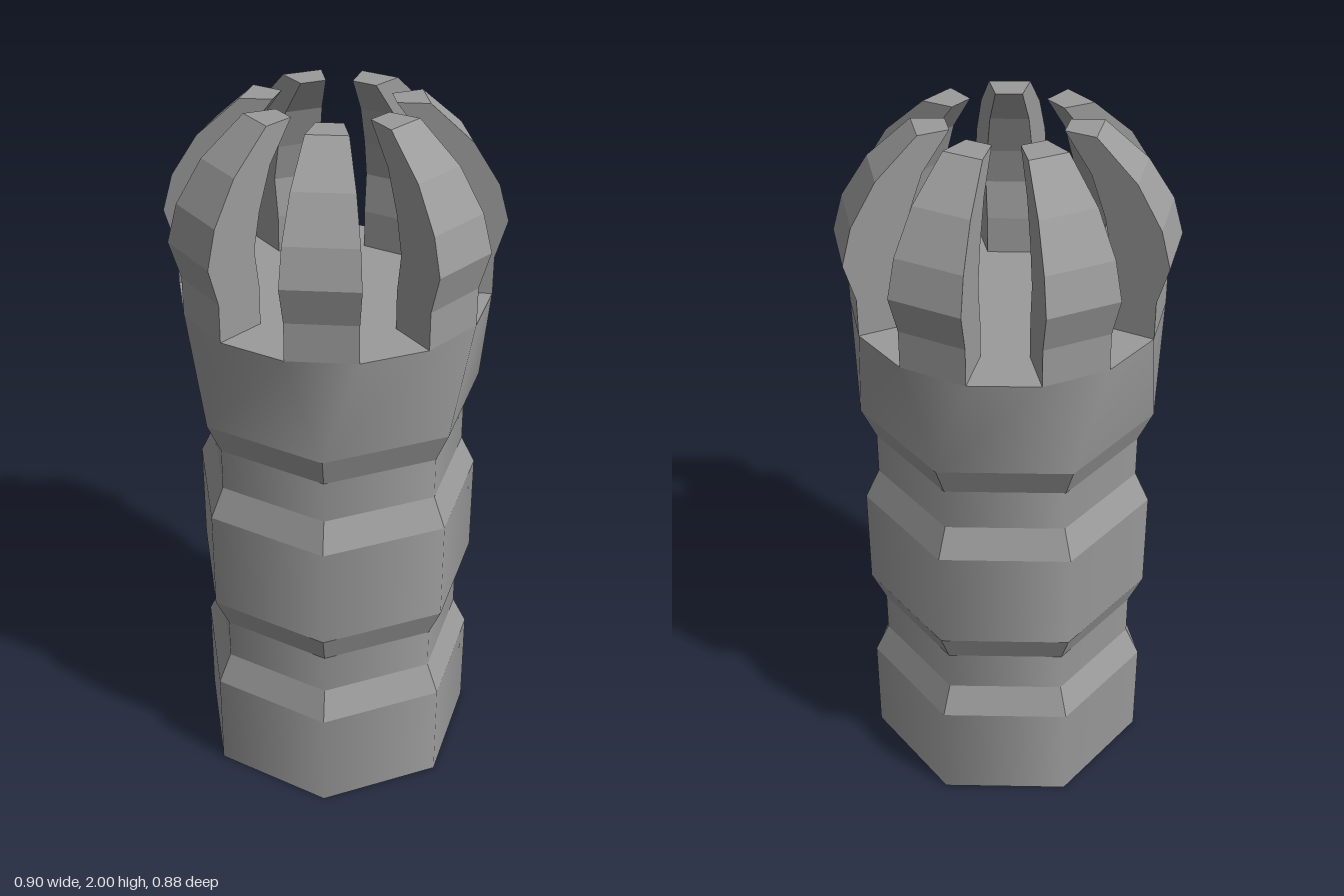
import * as THREE from 'three';

const N = 7;                       // sides of the body, and number of prongs
const HALF = Math.PI / N;          // half a side
const QUARTER = HALF / 2;          // half a prong
const TOP_Y = 1.48, TOP_R = 0.42;  // rim of the collar
const GREY = 0x9b9b9b;

export function createModel() {
  const model = new THREE.Group();
  const spin = new THREE.Group();
  spin.name = 'handle';
  spin.rotation.y = 0.025;
  model.add(spin);

  const smooth = new THREE.MeshStandardMaterial({ color: GREY, side: THREE.DoubleSide });
  const faceted = new THREE.MeshStandardMaterial({ color: GREY, side: THREE.DoubleSide, flatShading: true });
  const solid = new THREE.MeshStandardMaterial({ color: GREY, flatShading: true });

  const add = (name, geometry, material) => {
    const mesh = new THREE.Mesh(geometry, material);
    mesh.name = name;
    spin.add(mesh);
    return mesh;
  };

  // Open seven-sided shell: upright bands joined by bevels, [radius, y]
  const profile = [
    [0.41, 0], [0.41, 0.3], [0.37, 0.385], [0.37, 0.505], [0.41, 0.595],
    [0.41, 0.89], [0.37, 0.975], [0.37, 1.095], [0.41, 1.185],
  ];
  for (let i = 0; i < profile.length - 1; i++) {
    const [r0, y0] = profile[i], [r1, y1] = profile[i + 1];
    const g = new THREE.CylinderGeometry(r1, r0, y1 - y0, N, 1, true, HALF);
    g.translate(0, (y0 + y1) / 2, 0);
    const upright = r0 === r1;
    add(upright ? 'band' : 'bevel', g, upright ? smooth : faceted);
  }

  // Collar: lofts from seven sides to fourteen
  const [lowR, lowY] = profile[profile.length - 1];
  const points = [], index = [];
  const put = (r, a, y) => points.push(r * Math.sin(a), y, r * Math.cos(a));
  for (let k = 0; k < N; k++) put(lowR, HALF * (2 * k + 1), lowY);
  for (let k = 0; k < N; k++) {
    put(TOP_R, HALF * (2 * k + 1) - QUARTER, TOP_Y);
    put(TOP_R, HALF * (2 * k + 1) + QUARTER, TOP_Y);
  }
  for (let k = 0; k < N; k++) {
    const next = (k + 1) % N, a = N + 2 * k, b = a + 1, c = N + 2 * next;
    index.push(k, b, a, k, next, c, k, c, b);
  }
  const collar = new THREE.BufferGeometry();
  collar.setAttribute('position', new THREE.Float32BufferAttribute(points, 3));
  collar.setIndex(index);
  collar.computeVertexNormals();
  add('collar', collar, smooth);

  // Flat plate closing the collar
  const plate = new THREE.CircleGeometry(TOP_R, 2 * N);
  plate.rotateX(-Math.PI / 2);
  plate.translate(0, TOP_Y, 0);
  add('topPlate', plate, faceted);

  // Prong: side profile extruded, then tapered toward the axis
  const outline = [
    [0.41, TOP_Y], [0.41, 1.585], [0.44, 1.69], [0.413, 1.79], [0.345, 1.9], [0.235, 2],
    [0.152, 2], [0.225, 1.9], [0.265, 1.79], [0.286, 1.69], [0.272, 1.585], [0.272, TOP_Y],
  ];
  const prong = new THREE.ExtrudeGeometry(
    new THREE.Shape(outline.map(([r, y]) => new THREE.Vector2(r, y))),
    { depth: 1, bevelEnabled: false });
  const p = prong.attributes.position;
  for (let i = 0; i < p.count; i++) {
    p.setZ(i, (p.getZ(i) - 0.5) * 2 * p.getX(i) * Math.tan(QUARTER));
  }
  prong.computeVertexNormals();
  for (let k = 0; k < N; k++) {
    add('prong', prong, solid).rotation.y = HALF * (2 * k + 1) - Math.PI / 2;
  }

  return model;
}
